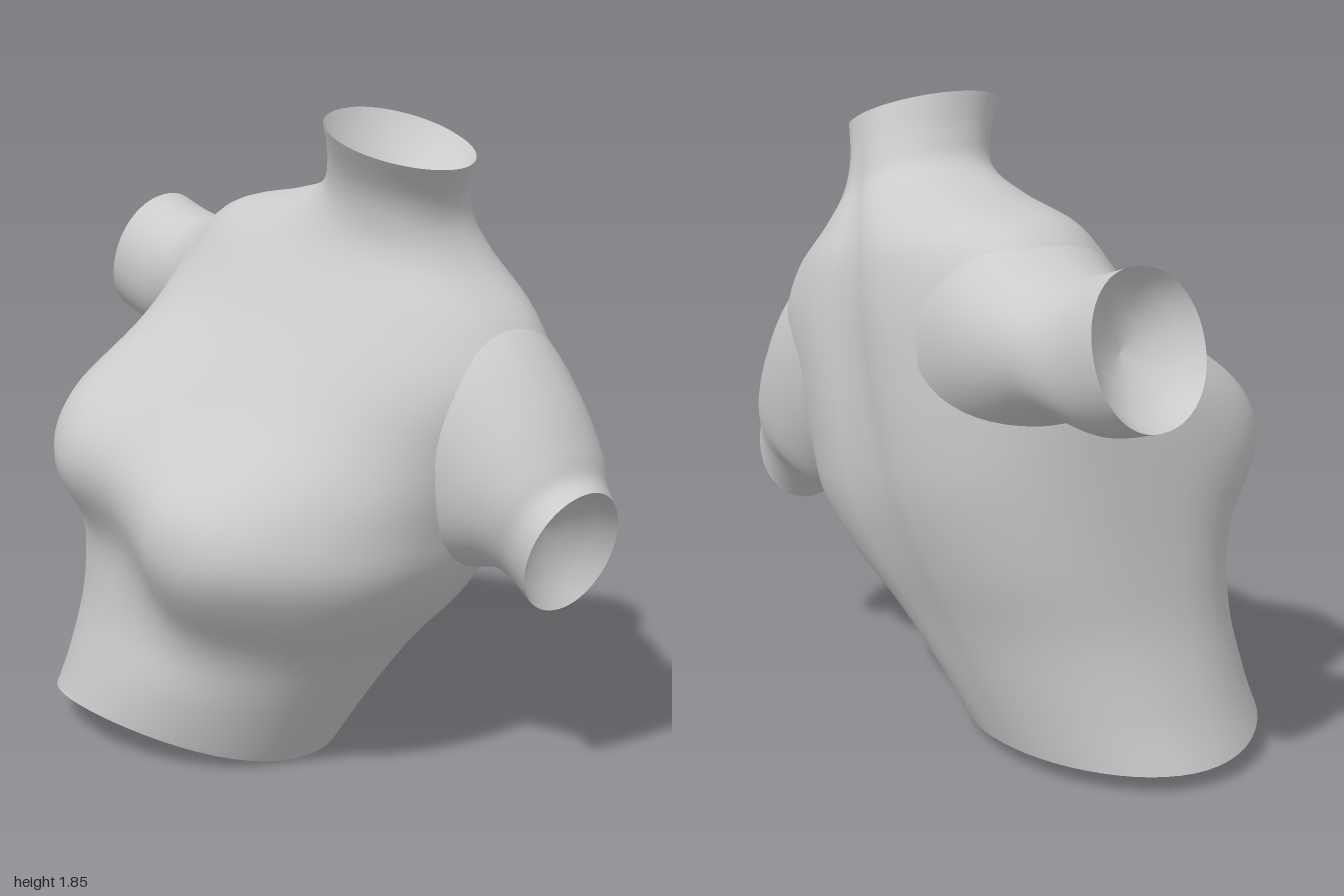
import * as THREE from 'three';

const SEGMENTS = 56;
const STEPS = 5;
const material = new THREE.MeshStandardMaterial({ color: 0xcccccc });

// Section: ax, ay, bx, by (two opposite rim points), z of the rim points, front and back, squareness
function ringPoint(s, t) {
  const [ax, ay, bx, by, zMid, zFront, zBack, power] = s;
  const c = Math.cos(t), n = Math.sin(t);
  const u = Math.sign(c) * Math.abs(c) ** (2 / power);
  const w = Math.abs(n) ** (2 / power);
  const k = (1 - u) / 2;
  const z = zMid + w * ((n >= 0 ? zFront : zBack) - zMid);
  return { p: new THREE.Vector3(ax + (bx - ax) * k, ay + (by - ay) * k, z), u, n };
}

// Smooth interpolation between two neighbouring sections
function sectionAt(sections, f) {
  const last = sections.length - 1;
  const i = Math.min(Math.floor(f), last - 1), t = f - i;
  const at = (k) => sections[Math.max(0, Math.min(last, k))];
  return sections[i].map((_, k) => {
    const [a, b, c, d] = [at(i - 1)[k], at(i)[k], at(i + 1)[k], at(i + 2)[k]];
    return b + 0.5 * t * (c - a + t * (2 * a - 5 * b + 4 * c - d + t * (3 * (b - c) + d - a)));
  });
}

function makeGeometry(positions, index) {
  const g = new THREE.BufferGeometry();
  g.setAttribute('position', new THREE.Float32BufferAttribute(positions, 3));
  g.setIndex(index);
  g.computeVertexNormals();
  return g;
}

// Skin through the sections, with a rule that sculpts each point
function loft(name, sections, sculpt) {
  const rows = (sections.length - 1) * STEPS;
  const rings = [], positions = [], index = [];
  for (let r = 0; r <= rows; r++) {
    const s = sectionAt(sections, r / STEPS);
    const ring = [];
    for (let j = 0; j < SEGMENTS; j++) {
      const { p, u, n } = ringPoint(s, (j / SEGMENTS) * Math.PI * 2);
      sculpt(p, u, n, r / rows);
      ring.push(p);
      positions.push(p.x, p.y, p.z);
      if (r < rows) {
        const k = (j + 1) % SEGMENTS;
        const a = r * SEGMENTS + j, b = r * SEGMENTS + k;
        index.push(a, b, b + SEGMENTS, a, b + SEGMENTS, a + SEGMENTS);
      }
    }
    rings.push(ring);
  }
  const mesh = new THREE.Mesh(makeGeometry(positions, index), material);
  mesh.name = name;
  return { mesh, first: rings[0], last: rings[rows] };
}

// Closed end: rim, inner rings and a centre moved by the offset
function endCap(name, ring, offset, flip) {
  const centre = new THREE.Vector3();
  ring.forEach((p) => centre.addScaledVector(p, 1 / ring.length));
  const positions = [], index = [];
  const levels = [[1, 0], [0.82, 0.45], [0.45, 0.85], [0, 1]];
  levels.forEach(([scale, depth], r) => ring.forEach((p, j) => {
    const q = centre.clone().lerp(p, scale).addScaledVector(offset, depth);
    positions.push(q.x, q.y, q.z);
    if (r === levels.length - 1) return;
    const n = ring.length, k = (j + 1) % n;
    const a = r * n + j, b = r * n + k;
    if (flip) index.push(a, b + n, b, a, a + n, b + n);
    else index.push(a, b, b + n, a, b + n, a + n);
  }));
  const mesh = new THREE.Mesh(makeGeometry(positions, index), material);
  mesh.name = name;
  return mesh;
}

// Soft hill, and a rounder dome with a flatter top
const hill = (dx, dy, rx, ry) => Math.exp(-((dx / rx) ** 2) - (dy / ry) ** 2);
const dome = (dx, dy, rx, ry) => Math.exp(-(Math.hypot(dx / rx, dy / ry) ** 3));

export function createModel() {
  const group = new THREE.Group();
  group.name = 'torsoBust';

  // Torso from waist to neck, leaning towards its left
  const torsoSections = [
    [-0.73, 0.05, 0.23, 0.00, 0.08, 0.50, -0.28, 2.0],
    [-0.68, 0.20, 0.34, 0.18, 0.06, 0.48, -0.34, 2.1],
    [-0.63, 0.42, 0.44, 0.34, 0.03, 0.45, -0.41, 2.3],
    [-0.61, 0.65, 0.55, 0.48, 0.00, 0.44, -0.49, 2.6],
    [-0.60, 0.88, 0.62, 0.61, -0.03, 0.45, -0.55, 2.7],
    [-0.59, 1.06, 0.65, 0.75, -0.12, 0.42, -0.575, 2.5],
    [-0.57, 1.22, 0.70, 0.93, -0.22, 0.31, -0.585, 2.3],
    [-0.54, 1.40, 0.76, 1.12, -0.28, 0.17, -0.58, 2.2],
    [-0.41, 1.545, 0.69, 1.28, -0.28, 0.07, -0.55, 2.2],
    [-0.14, 1.60, 0.55, 1.42, -0.26, 0.01, -0.49, 2.2],
    [0.06, 1.65, 0.49, 1.52, -0.22, -0.01, -0.43, 2.2],
    [0.12, 1.74, 0.49, 1.61, -0.19, 0.01, -0.40, 2.1],
    [0.15, 1.85, 0.54, 1.70, -0.17, 0.07, -0.38, 2.0],
  ];
  const torso = loft('torso', torsoSections, (p, u, n, f) => {
    if (n > 0) {
      // Breasts
      const front = Math.min(1, n * 2);
      p.z += front * 0.14 * dome(p.x + 0.3, p.y - 0.94, 0.29, 0.25);
      p.z += front * 0.14 * dome(p.x - 0.25, p.y - 0.7, 0.29, 0.25);
    } else {
      // Groove along the spine
      p.z += -n * 0.045 * hill(u, f - 0.5, 0.16, 0.28);
    }
    // Waist edge rises at the front and a little at the back
    p.y += (n > 0 ? 0.08 : 0.02) * n * n * Math.max(0, 1 - f / 0.16);
  });
  group.add(torso.mesh);
  group.add(endCap('neckEnd', torso.last, new THREE.Vector3(-0.01, -0.12, 0), false));
  group.add(endCap('waistEnd', torso.first, new THREE.Vector3(0, -0.03, 0), true));

  // Raised right upper arm, its cut end slanting towards the back
  const rightArm = loft('rightArm', [
    [-0.28, 0.92, -0.24, 1.54, -0.26, 0.08, -0.55, 2.1],
    [-0.43, 0.99, -0.38, 1.535, -0.27, 0.03, -0.55, 2.1],
    [-0.55, 1.05, -0.51, 1.49, -0.28, -0.03, -0.53, 2.1],
    [-0.66, 1.09, -0.62, 1.46, -0.28, -0.07, -0.51, 2.1],
    [-0.82, 1.08, -0.74, 1.48, -0.29, -0.10, -0.48, 2.1],
    [-1.00, 1.13, -0.87, 1.52, -0.30, -0.10, -0.48, 2.1],
  ], (p, u, n, f) => { p.x += 0.03 * n * f ** 3; });
  group.add(rightArm.mesh);
  group.add(endCap('rightArmEnd', rightArm.last, new THREE.Vector3(0.12, -0.03, 0), false));

  // Lowered left shoulder and upper arm
  const leftArm = loft('leftArm', [
    [0.46, 1.42, 0.28, 0.74, -0.27, 0.04, -0.55, 2.1],
    [0.70, 1.27, 0.42, 0.65, -0.27, 0.02, -0.54, 2.1],
    [0.84, 1.11, 0.56, 0.59, -0.27, -0.01, -0.52, 2.1],
    [0.915, 0.98, 0.70, 0.61, -0.27, -0.05, -0.49, 2.1],
    [0.95, 0.91, 0.77, 0.58, -0.27, -0.08, -0.46, 2.1],
    [1.00, 0.88, 0.84, 0.51, -0.27, -0.08, -0.44, 2.0],
  ], (p, u, n, f) => { p.z += 0.04 * u * f ** 3; });
  group.add(leftArm.mesh);
  group.add(endCap('leftArmEnd', leftArm.last, new THREE.Vector3(-0.11, 0.05, 0), false));

  return group;
}
